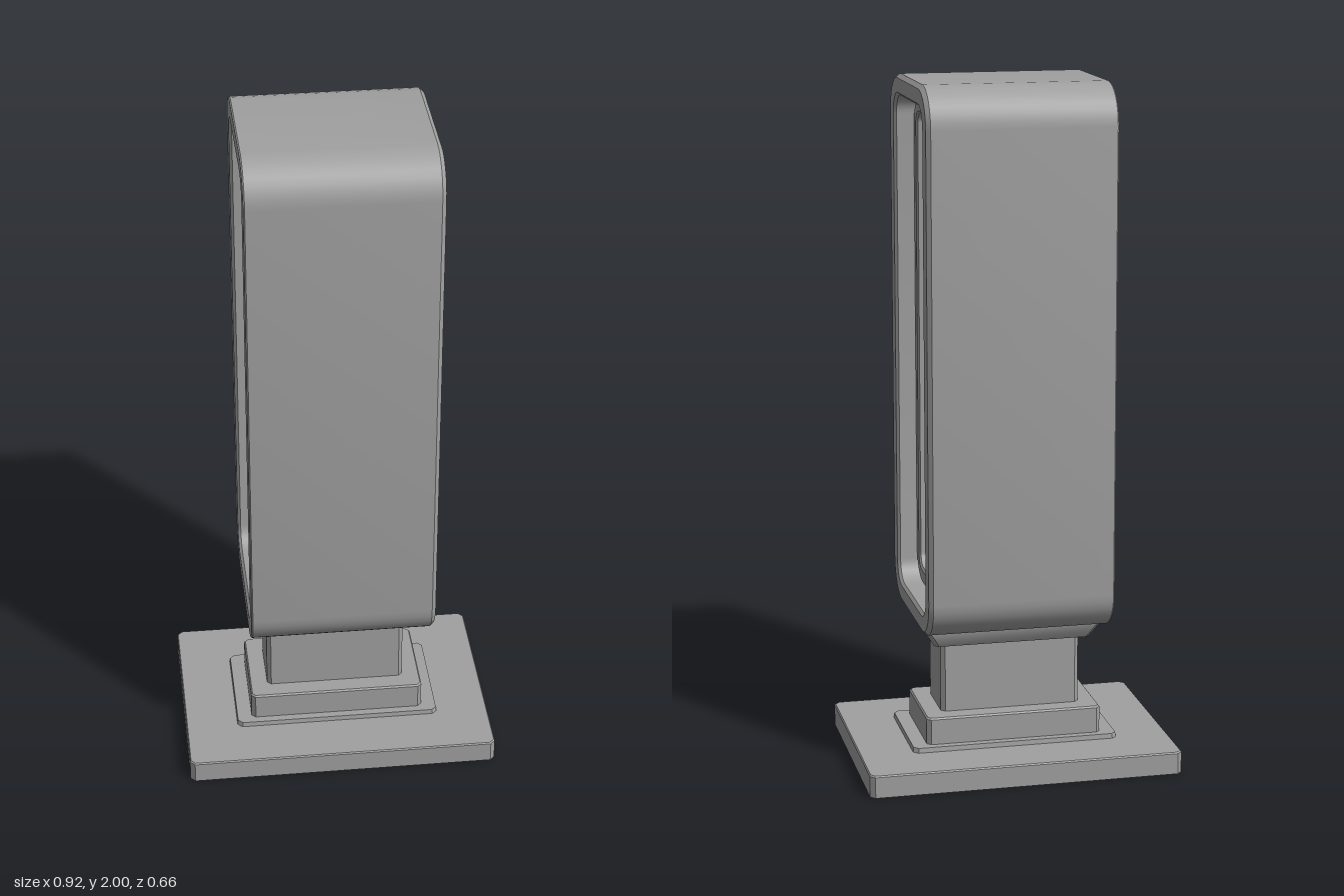
import * as THREE from 'three';
import { toCreasedNormals } from 'three/addons/utils/BufferGeometryUtils.js';

// Counter-clockwise rectangle outline with rounded (or, with one segment, chamfered) corners
function outline(hw, hh, r, segs) {
  const pts = [];
  [[1, 1], [-1, 1], [-1, -1], [1, -1]].forEach(([sx, sy], c) => {
    for (let i = 0; i <= segs; i++) {
      const t = (c + i / segs) * Math.PI / 2;
      pts.push([sx * (hw - r) + r * Math.cos(t), sy * (hh - r) + r * Math.sin(t)]);
    }
  });
  return pts;
}

// Skin through sections [level, halfWidth, halfHeight, radius]; place maps them to space
function loft(sections, segs, place, closed) {
  const loops = sections.map(([level, w, h, r]) =>
    outline(w, h, r, segs).map(([a, b]) => place(a, b, level)));
  const n = loops[0].length;
  const pos = [];
  const last = closed ? loops.length : loops.length - 1;
  for (let k = 0; k < last; k++) {
    const A = loops[k], B = loops[(k + 1) % loops.length];
    for (let i = 0; i < n; i++) {
      const j = (i + 1) % n;
      pos.push(...A[i], ...A[j], ...B[j], ...A[i], ...B[j], ...B[i]);
    }
  }
  const geo = new THREE.BufferGeometry();
  geo.setAttribute('position', new THREE.Float32BufferAttribute(pos, 3));
  return toCreasedNormals(geo, 0.4);
}

const RING_Y = 1.2125;
const alongX = (a, b, x) => [x, RING_Y + b, -a];
const alongY = (a, b, y) => [a, y, -b];

export function createModel() {
  const group = new THREE.Group();
  const grey = new THREE.MeshStandardMaterial({ color: 0xa0a0a0, side: THREE.DoubleSide });
  grey.name = 'grey';
  const add = (name, geo) => {
    const mesh = new THREE.Mesh(geo, grey);
    mesh.name = name;
    group.add(mesh);
  };

  // Tall outer frame, open along x, with a larger bevel on the +x rim
  add('outerFrame', loft([
    [-0.265, 0.273, 0.7845, 0.112],
    [-0.261, 0.277, 0.7875, 0.115],
    [0.265, 0.277, 0.7875, 0.115],
    [0.277, 0.266, 0.7765, 0.104],
    [0.277, 0.219, 0.735, 0.068],
    [0.269, 0.211, 0.727, 0.06],
    [-0.257, 0.211, 0.727, 0.06],
    [-0.265, 0.219, 0.735, 0.068],
  ], 8, alongX, true));

  // Recessed inner sleeve with rounder corners, leaving small corner gaps
  add('innerSleeve', loft([
    [-0.215, 0.203, 0.717, 0.082],
    [-0.207, 0.211, 0.727, 0.09],
    [0.212, 0.211, 0.727, 0.09],
    [0.22, 0.203, 0.717, 0.082],
    [0.22, 0.175, 0.683, 0.045],
    [0.215, 0.168, 0.676, 0.038],
    [-0.21, 0.168, 0.676, 0.038],
    [-0.215, 0.175, 0.683, 0.045],
  ], 8, alongX, true));

  // Flared saddle under the frame
  add('saddle', loft([
    [0.37, 0.001, 0.001, 0.0005],
    [0.37, 0.232, 0.124, 0.012],
    [0.395, 0.247, 0.14, 0.014],
    [0.42, 0.264, 0.148, 0.014],
    [0.44, 0.264, 0.148, 0.014],
    [0.44, 0.001, 0.001, 0.0005],
  ], 1, alongY, false));

  // Neck and stepped foot, hollow shells open underneath
  add('neck', loft([
    [0.16, 0.207, 0.09, 0.012],
    [0.37, 0.207, 0.09, 0.012],
  ], 1, alongY, false));
  add('collar', loft([
    [0.08, 0.26, 0.145, 0.012],
    [0.155, 0.26, 0.145, 0.012],
    [0.16, 0.256, 0.141, 0.01],
    [0.16, 0.207, 0.09, 0.012],
  ], 1, alongY, false));
  add('stepPlate', loft([
    [0.065, 0.305, 0.17, 0.014],
    [0.08, 0.303, 0.168, 0.014],
    [0.08, 0.26, 0.145, 0.012],
  ], 1, alongY, false));
  add('basePlate', loft([
    [0, 0.46, 0.328, 0.014],
    [0.062, 0.46, 0.328, 0.014],
    [0.066, 0.457, 0.325, 0.013],
    [0.066, 0.305, 0.17, 0.014],
  ], 1, alongY, false));

  return group;
}
